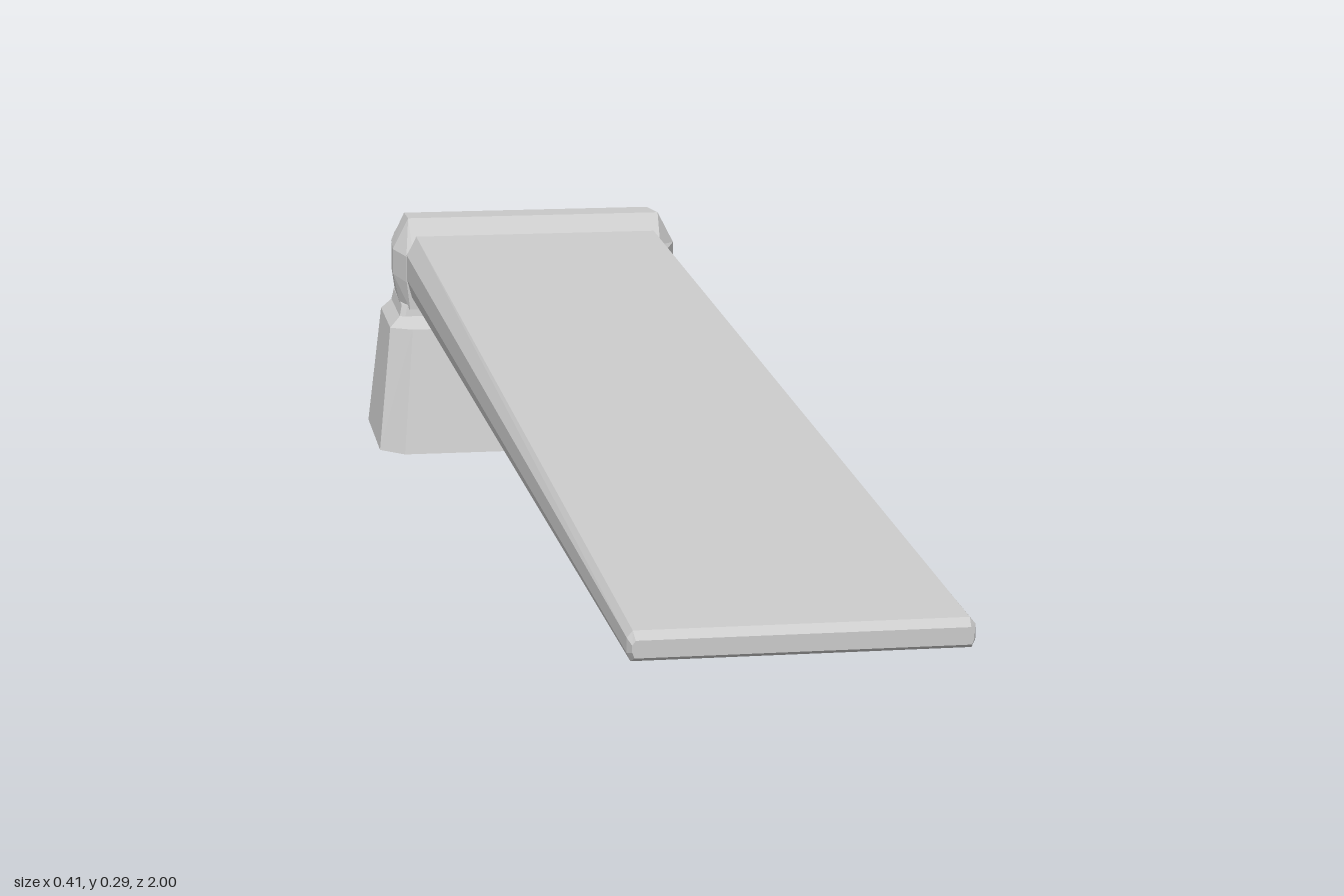
import * as THREE from 'three';

// Joins cross-section loops of equal length into a closed, flat-shaded solid.
function loft(name, loops) {
  const pos = [];
  const tri = (a, b, c) => pos.push(...a, ...b, ...c);
  const n = loops[0].length;
  for (let i = 0; i < loops.length - 1; i++) {
    for (let j = 0; j < n; j++) {
      const k = (j + 1) % n, a = loops[i], b = loops[i + 1];
      tri(a[j], a[k], b[k]);
      tri(a[j], b[k], b[j]);
    }
  }
  const first = loops[0], last = loops[loops.length - 1];
  for (let j = 1; j < n - 1; j++) {
    tri(first[0], first[j + 1], first[j]);
    tri(last[0], last[j], last[j + 1]);
  }
  const geometry = new THREE.BufferGeometry();
  geometry.setAttribute('position', new THREE.Float32BufferAttribute(pos, 3));
  geometry.computeVertexNormals();
  const mesh = new THREE.Mesh(geometry, new THREE.MeshStandardMaterial({ color: 0xcccccc, flatShading: true }));
  mesh.name = name;
  return mesh;
}

// Upright eight-sided section at depth z: flat top, flat bottom, bevelled flanks.
function uprightSection(z, top, bottom, topHalf, sideHalf, bottomHalf, sideTop, sideBottom) {
  const right = [[bottomHalf, bottom], [sideHalf, sideBottom], [sideHalf, sideTop], [topHalf, top]];
  const left = right.map(([x, y]) => [-x, y]).reverse();
  return [...right, ...left].map(([x, y]) => [x, y, z]);
}

// Level rectangle with cut corners: outer half-sizes hx, hz and flat half-lengths fx, fz.
function levelSection(y, hx, hz, fx, fz, cz = -0.82) {
  return [[fx, hz], [hx, fz], [hx, -fz], [fx, -hz], [-fx, -hz], [-hx, -fz], [-hx, fz], [-fx, hz]]
    .map(([x, z]) => [x, y, cz + z]);
}

export function createModel() {
  const model = new THREE.Group();
  model.name = 'board';

  // Long tapering board, thickest at the mount
  model.add(loft('board', [
    uprightSection(-0.8, 0.266, 0.19, 0.152, 0.166, 0.16, 0.245, 0.213),
    uprightSection(0.99, 0.241, 0.215, 0.141, 0.146, 0.143, 0.235, 0.222),
    uprightSection(1, 0.235, 0.22, 0.14, 0.143, 0.141, 0.231, 0.225),
  ]));

  // Faceted head that clamps the board and tapers to the back
  model.add(loft('head', [
    uprightSection(-1, 0.237, 0.208, 0.148, 0.155, 0.15, 0.23, 0.214),
    uprightSection(-0.98, 0.253, 0.199, 0.151, 0.161, 0.156, 0.237, 0.209),
    uprightSection(-0.87, 0.28, 0.17, 0.158, 0.175, 0.17, 0.245, 0.207),
    uprightSection(-0.79, 0.286, 0.17, 0.16, 0.18, 0.171, 0.247, 0.215),
    uprightSection(-0.755, 0.25, 0.175, 0.158, 0.166, 0.162, 0.243, 0.21),
  ]));

  // Tapered pedestal with cut corners and a bevelled rim
  model.add(loft('pedestal', [
    levelSection(0, 0.205, 0.12, 0.176, 0.09),
    levelSection(0.153, 0.188, 0.085, 0.161, 0.068),
    levelSection(0.166, 0.175, 0.063, 0.168, 0.06),
    levelSection(0.18, 0.172, 0.06, 0.165, 0.057),
  ]));
  return model;
}
